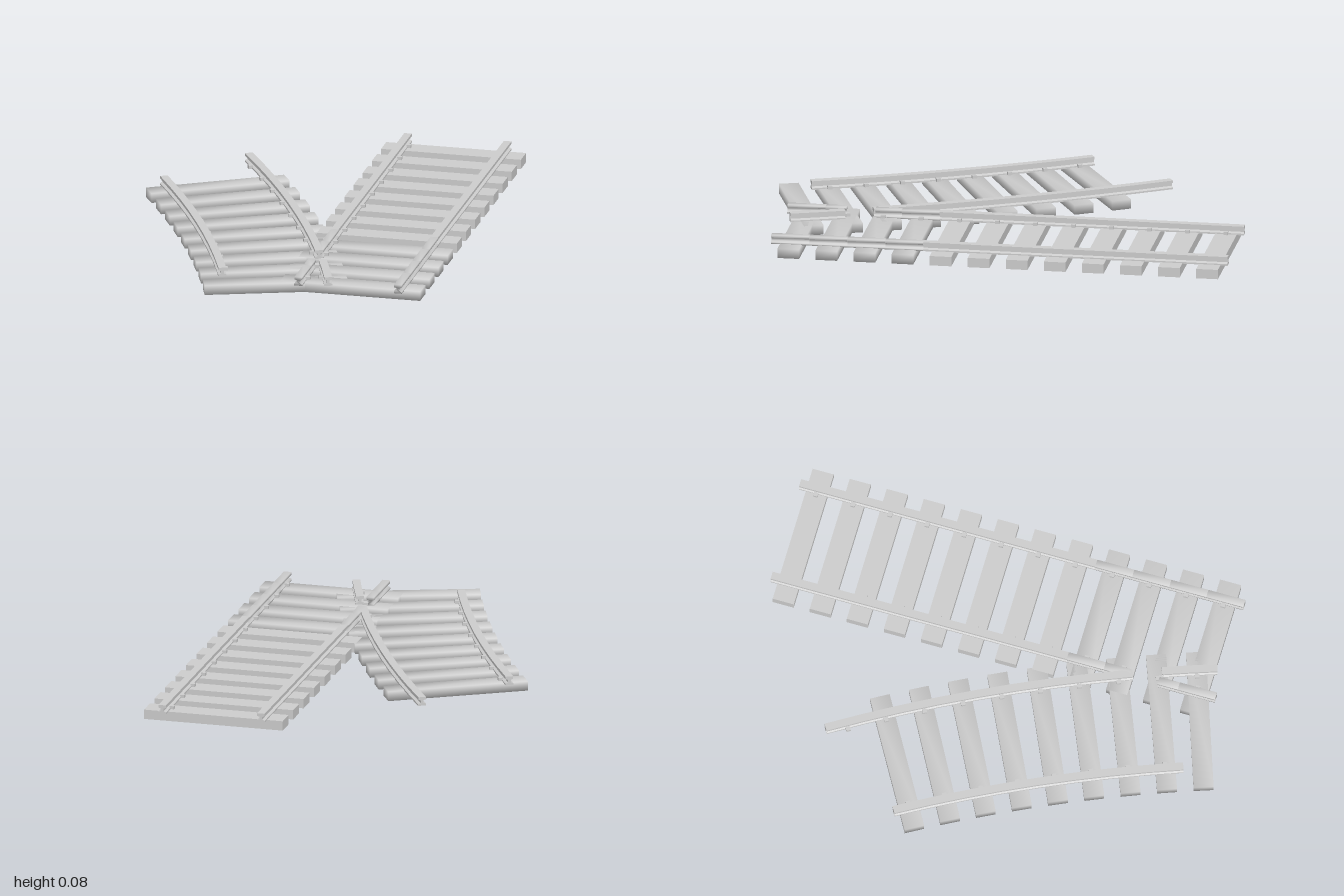
import * as THREE from 'three';
import { mergeVertices } from 'three/addons/utils/BufferGeometryUtils.js';

const material = new THREE.MeshStandardMaterial({ color: 0xcccccc });
const TIE_H = 0.04, TIE_L = 0.59, PITCH = 0.158;
const GAUGE = 0.21;                         // half distance between rails
const STRAIGHT_X = 0.425;                   // centre of the straight track
const CURVE = { x: -6.18, z: 3.047, r: 6.66 }; // centre line of the branch
const rad = THREE.MathUtils.degToRad;

// Soft shading across shared corners
function weld(geometry) {
  geometry.deleteAttribute('uv');
  geometry.deleteAttribute('normal');
  const welded = mergeVertices(geometry, 1e-5);
  welded.computeVertexNormals();
  return welded;
}

function add(parent, name, geometry) {
  const mesh = new THREE.Mesh(geometry, material);
  mesh.name = name;
  parent.add(mesh);
  return mesh;
}

// I-shaped rail section: foot, web, head
function railShape() {
  const half = [[0.017, 0.038], [0.017, 0.045], [0.006, 0.05], [0.006, 0.061], [0.016, 0.064], [0.016, 0.075]];
  const mirrored = half.map(([x, y]) => [-x, y]).reverse();
  return new THREE.Shape([...half, ...mirrored].map(([x, y]) => new THREE.Vector2(x, y)));
}

function straightRail(parent, name, x, z0, z1, soft) {
  let geometry = new THREE.ExtrudeGeometry(railShape(), { depth: z1 - z0, bevelEnabled: false });
  if (soft) geometry = weld(geometry);
  add(parent, name, geometry).position.set(x, 0, z0);
}

// Point on the branch at an angle and sideways offset
function onCurve(angle, offset) {
  const a = rad(angle), r = CURVE.r + offset;
  return [CURVE.x + r * Math.cos(a), CURVE.z - r * Math.sin(a)];
}

// Straight extrusion bent along the branch arc
function curvedRail(parent, name, offset, far, near, steps) {
  const geometry = new THREE.ExtrudeGeometry(railShape(), { depth: 1, steps, bevelEnabled: false });
  const p = geometry.attributes.position;
  for (let i = 0; i < p.count; i++) {
    const [x, z] = onCurve(far + (near - far) * p.getZ(i), offset + p.getX(i));
    p.setXYZ(i, x, p.getY(i), z);
  }
  geometry.computeVertexNormals();
  add(parent, name, geometry);
}

function tie(parent, x, z, angle, soft) {
  let geometry = new THREE.BoxGeometry(TIE_L, TIE_H, soft === 'curve' ? 0.082 : 0.09);
  if (soft) geometry = weld(geometry);
  const mesh = add(parent, 'tie', geometry);
  mesh.position.set(x, TIE_H / 2, z);
  mesh.rotation.y = rad(angle);
}

function spike(parent, x, z, angle) {
  const mesh = add(parent, 'spike', new THREE.BoxGeometry(0.018, 0.014, 0.018));
  mesh.position.set(x, TIE_H + 0.006, z);
  mesh.rotation.y = rad(angle);
}

export function createModel() {
  const model = new THREE.Group();
  model.name = 'railSwitch';
  const straight = new THREE.Group();
  straight.name = 'straightTrack';
  const branch = new THREE.Group();
  branch.name = 'branchTrack';
  model.add(straight, branch);

  // Straight ties and spikes
  for (let i = 0; i < 12; i++) {
    const z = -0.926 + i * PITCH;
    tie(straight, STRAIGHT_X, z, 0, i > 7);
    for (const side of [-1, 1]) {
      spike(straight, STRAIGHT_X + side * (GAUGE - 0.022), z, 0);
    }
  }

  // Straight rails, with short sections near the crossing
  const left = STRAIGHT_X + GAUGE, right = STRAIGHT_X - GAUGE;
  for (const x of [left, right]) straightRail(straight, 'longRail', x, -1, 0.263, false);
  for (let i = 0; i < 4; i++) {
    straightRail(straight, 'railSection', left, 0.263 + i * PITCH, 0.263 + (i + 1) * PITCH, true);
  }
  for (const [z0, z1] of [[0.263, 0.421], [0.421, 0.53], [0.65, 0.737], [0.737, 0.895]]) {
    straightRail(straight, 'railSection', right, z0, z1, true);
  }

  // Branch ties and spikes
  const step = 1.35;
  for (let i = 0; i < 9; i++) {
    const angle = 30 - i * step;
    const [x, z] = onCurve(angle, 0);
    tie(branch, x, z, angle, 'curve');
    for (const side of [-1, 1]) {
      if (i === 8 && side < 0) continue;
      const [sx, sz] = onCurve(angle, side * (GAUGE - 0.022));
      spike(branch, sx, sz, angle);
    }
  }
  const [ex, ez] = onCurve(30 + step, GAUGE - 0.022);
  spike(branch, ex, ez, 30 + step);

  // Branch rails and the stub past the crossing gap
  curvedRail(branch, 'innerRail', -GAUGE, 30.6, 19.9, 8);
  curvedRail(branch, 'outerRail', GAUGE, 32.1, 21.4, 8);
  curvedRail(branch, 'stubRail', GAUGE, 20.4, 18.5, 2);

  return model;
}
